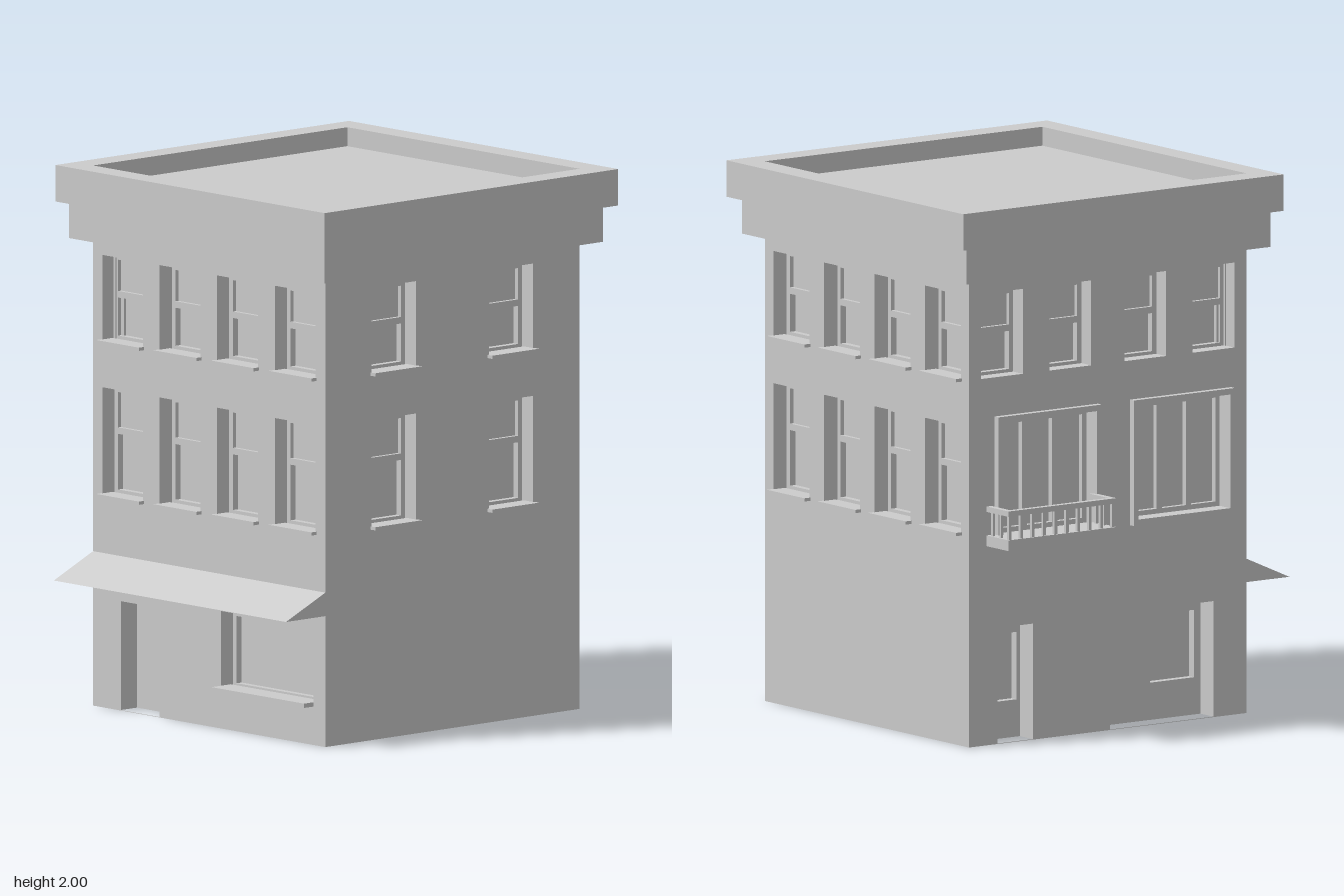
import * as THREE from 'three';
import { mergeGeometries } from 'three/addons/utils/BufferGeometryUtils.js';

const material = new THREE.MeshStandardMaterial({ color: 0xcccccc, side: THREE.DoubleSide, flatShading: true });

const X0 = -0.61, X1 = 0.645, Z0 = -0.68, Z1 = 0.58, EAVES = 1.73;

const corners = ({ x0, y0, x1, y1 }) => [[x0, y0], [x1, y0], [x1, y1], [x0, y1]];
const rect = (x0, y0, x1, y1, depth = 0, children = []) => ({ x0, y0, x1, y1, depth, children });

function outline(r, Type) {
  return new Type(corners(r).map(([x, y]) => new THREE.Vector2(x, y)));
}

function box(parent, name, x0, y0, z0, x1, y1, z1) {
  const mesh = new THREE.Mesh(new THREE.BoxGeometry(x1 - x0, y1 - y0, z1 - z0), material);
  mesh.position.set((x0 + x1) / 2, (y0 + y1) / 2, (z0 + z1) / 2);
  mesh.name = name;
  parent.add(mesh);
  return mesh;
}

// Sides of a recess running from depth z back to z - r.depth
function reveal(r, z) {
  const c = corners(r), out = [];
  for (let i = 0; i < 4; i++) {
    if (i === 0 && r.y0 < 0.01) continue; // doorways have no sill
    const [ax, ay] = c[i], [bx, by] = c[(i + 1) % 4], back = z - r.depth;
    const g = new THREE.BufferGeometry();
    g.setAttribute('position', new THREE.Float32BufferAttribute(
      [ax, ay, z, bx, by, z, bx, by, back, ax, ay, z, bx, by, back, ax, ay, back], 3));
    g.computeVertexNormals();
    out.push(g);
  }
  return out;
}

// Flat panel with openings, each leading to a deeper panel
function panel(r, z = 0) {
  const shape = outline(r, THREE.Shape);
  shape.holes = r.children.map((child) => outline(child, THREE.Path));
  const face = new THREE.ShapeGeometry(shape).toNonIndexed();
  face.deleteAttribute('uv');
  face.translate(0, 0, z);
  return [face, ...r.children.flatMap((c) => [...reveal(c, z), ...panel(c, z - c.depth)])];
}

// Sash window: a deep reveal with an upper and a lower pane
function sash(cx, y0, y1, split, half = 0.11) {
  const p = half - 0.02;
  return rect(cx - half, y0, cx + half, y1, 0.06, [
    rect(cx - p, y0 + 0.012, cx + p, split - 0.012, 0.025),
    rect(cx - p, split + 0.012, cx + p, y1 - 0.022, 0.015),
  ]);
}
const secondFloor = (cx) => sash(cx, 0.79, 1.185, 1.02);
const thirdFloor = (cx) => sash(cx, 1.36, 1.675, 1.525);

function wall(parent, name, x0, x1, openings, position, angle) {
  const group = new THREE.Group();
  group.name = name;
  const mesh = new THREE.Mesh(mergeGeometries(panel(rect(x0, 0, x1, EAVES, 0, openings))), material);
  mesh.name = name + 'Face';
  group.add(mesh);
  group.position.set(...position);
  group.rotation.y = angle;
  parent.add(group);
  return group;
}

function sills(group, centres) {
  for (const cx of centres)
    for (const y of [0.78, 1.35]) box(group, 'windowSill', cx - 0.116, y, -0.05, cx + 0.116, y + 0.012, 0.026);
}

// Rectangular border extruded outward from a wall or upward as a parapet
function border(parent, name, outer, inner, depth) {
  const shape = outline(outer, THREE.Shape);
  shape.holes = [outline(inner, THREE.Path)];
  const mesh = new THREE.Mesh(new THREE.ExtrudeGeometry(shape, { depth, bevelEnabled: false }), material);
  mesh.name = name;
  parent.add(mesh);
  return mesh;
}

export function createModel() {
  const model = new THREE.Group();
  model.name = 'townBuilding';
  const columns = [-0.45, -0.14, 0.17, 0.482];

  // Front wall with door, shop window and two floors of windows
  const front = wall(model, 'frontWall', X0, X1, [
    ...columns.flatMap((c) => [secondFloor(c), thirdFloor(c)]),
    rect(-0.46, 0.002, -0.25, 0.405, 0.08),
    rect(0.08, 0.15, 0.58, 0.435, 0.06, [rect(0.1, 0.163, 0.56, 0.412, 0.025)]),
  ], [0, 0, Z1], 0);
  sills(front, columns);
  box(front, 'shopWindowSill', 0.08, 0.142, -0.05, 0.58, 0.158, 0.046);

  // Back wall
  const backColumns = columns.map((c) => -c);
  const back = wall(model, 'backWall', -X1, -X0,
    backColumns.flatMap((c) => [secondFloor(c), thirdFloor(c)]), [0, 0, Z0], Math.PI);
  sills(back, backColumns);

  // Left wall, two columns of windows
  const sideColumns = [-0.24, 0.34];
  const left = wall(model, 'leftWall', -Z1, -Z0,
    sideColumns.flatMap((c) => [secondFloor(c), thirdFloor(c)]), [X1, 0, 0], Math.PI / 2);
  sills(left, sideColumns);

  // Right wall: recessed ground floor bays, two wide windows, four narrow ones
  const wide = [[-0.565, -0.095], [0.05, 0.51]];
  const wideWindow = ([a, b]) => {
    const w = (b - a - 0.06) / 3;
    return rect(a + 0.022, 0.772, b - 0.022, 1.193, 0.04, [0, 1, 2].map((i) =>
      rect(a + 0.03 + i * w + 0.012, 0.79, a + 0.03 + (i + 1) * w - 0.012, 1.175, 0.02)));
  };
  const right = wall(model, 'rightWall', Z0, Z1, [
    ...[-0.53, -0.22, 0.12, 0.43].map((c) => sash(c, 1.36, 1.675, 1.525, 0.095)),
    ...wide.map(wideWindow),
    rect(-0.55, 0.002, -0.39, 0.43, 0.08, [rect(-0.5, 0.14, -0.405, 0.39, 0.03)]),
    rect(-0.04, 0.002, 0.43, 0.43, 0.08, [rect(0.2, 0.14, 0.4, 0.39, 0.03)]),
  ], [X0, 0, 0], -Math.PI / 2);
  for (const [a, b] of wide)
    border(right, 'wideWindowFrame', rect(a, 0.75, b, 1.215), rect(a + 0.022, 0.772, b - 0.022, 1.193), 0.025);

  // Balcony with balusters and handrail
  const balcony = new THREE.Group();
  balcony.name = 'balcony';
  right.add(balcony);
  const b0 = -0.6, b1 = -0.11, reach = 0.135;
  box(balcony, 'balconyFloor', b0, 0.738, 0, b1, 0.778, reach);
  box(balcony, 'handrail', b0, 0.865, reach - 0.022, b1, 0.885, reach);
  for (const z of [b0, b1 - 0.022]) {
    box(balcony, 'sideRail', z, 0.865, 0, z + 0.022, 0.885, reach - 0.022);
    for (const d of [0.025, 0.075]) box(balcony, 'sideBaluster', z + 0.006, 0.778, d - 0.005, z + 0.016, 0.865, d + 0.005);
  }
  for (let i = 0; i < 10; i++) {
    const z = b0 + 0.011 + (i * (b1 - b0 - 0.022)) / 9;
    box(balcony, 'baluster', z - 0.006, 0.778, reach - 0.017, z + 0.006, 0.865, reach - 0.005);
  }

  // Awning wedge across the front
  const wedge = new THREE.Shape([[0, 0.485], [0.195, 0.485], [0, 0.572]].map((p) => new THREE.Vector2(...p)));
  const awning = new THREE.Mesh(
    new THREE.ExtrudeGeometry(wedge, { depth: X1 - X0, bevelEnabled: false }), material);
  awning.name = 'awning';
  awning.rotation.y = -Math.PI / 2;
  awning.position.set(X1, 0, Z1);
  awning.geometry.rotateY(0);
  // profile axis points forward, extrusion runs towards -x
  model.add(awning);

  // Two-tier cornice, parapet and sunken roof
  box(model, 'lowerCornice', -0.675, EAVES, -0.74, 0.705, 1.865, 0.64);
  box(model, 'upperCornice', -0.71, 1.865, -0.78, 0.745, 1.93, 0.675);
  const parapet = border(model, 'parapet', rect(-0.71, -0.675, 0.745, 0.78), rect(X0, -Z1, X1, -Z0), 0.07);
  parapet.rotation.x = -Math.PI / 2;
  parapet.position.y = 1.93;
  return model;
}
